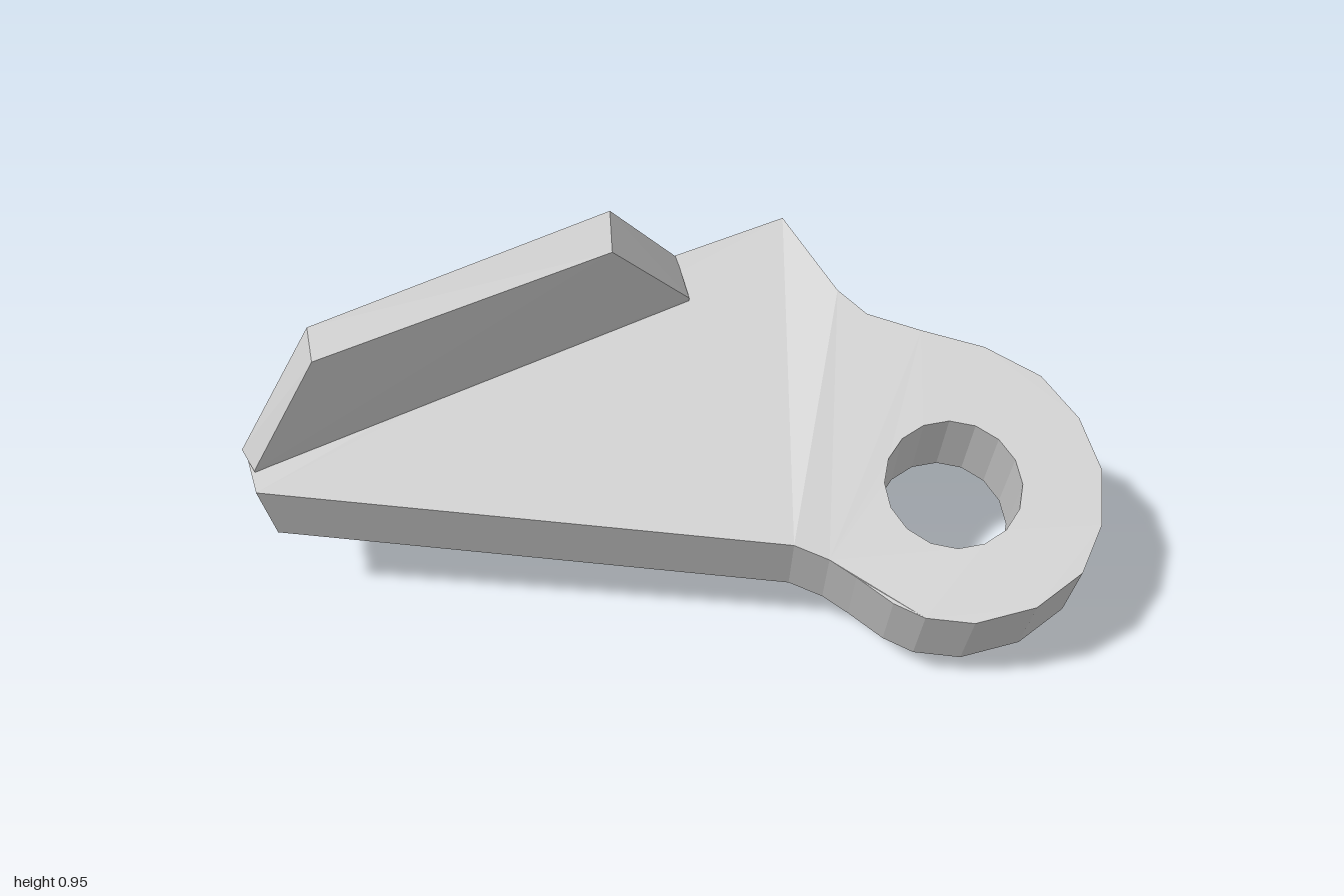
import * as THREE from 'three';

const material = new THREE.MeshStandardMaterial({ color: 0xcccccc, flatShading: true });

// Height of the arm's upper surface: body plane easing into the ring's plane
function topHeight(x, z) {
  const body = 0.375 - 0.4345 * (z - 0.4) - 0.04 * (x - 0.3);
  const ring = 0.565 - 0.5 * z;
  return THREE.MathUtils.lerp(body, ring, THREE.MathUtils.clamp((x - 0.28) / 0.12, 0, 1));
}

// Extrude a plan outline (x, z) and lean it onto the sloping surface
function slab(name, outline, hole) {
  const toPoint = ([x, z]) => new THREE.Vector2(x, -z);
  const shape = new THREE.Shape(outline.map(toPoint));
  if (hole) shape.holes.push(new THREE.Path(hole.map(toPoint)));
  const geometry = new THREE.ExtrudeGeometry(shape, { depth: 1, bevelEnabled: false });
  const p = geometry.attributes.position;
  for (let i = 0; i < p.count; i++) {
    const x = p.getX(i), z = -p.getY(i), drop = 1 - p.getZ(i);
    p.setXYZ(i, x, topHeight(x, z) - 0.205 * drop, z - 0.1 * drop);
  }
  geometry.computeVertexNormals();
  const mesh = new THREE.Mesh(geometry, material);
  mesh.name = name;
  return mesh;
}

// Solid between two matching loops, both clockwise as seen from the front
function loft(name, back, front) {
  const n = back.length, index = [];
  for (let i = 0; i < n; i++) {
    const j = (i + 1) % n;
    index.push(i, n + i, n + j, i, n + j, j);
    if (i > 0 && i < n - 1) index.push(0, i, i + 1, n, n + i + 1, n + i);
  }
  const geometry = new THREE.BufferGeometry();
  geometry.setAttribute('position', new THREE.Float32BufferAttribute([...back, ...front].flat(), 3));
  geometry.setIndex(index);
  const flat = geometry.toNonIndexed();
  flat.computeVertexNormals();
  const mesh = new THREE.Mesh(flat, material);
  mesh.name = name;
  return mesh;
}

export function createModel() {
  const model = new THREE.Group();
  model.name = 'bracket';

  // Tapering arm with its rear tab
  const neckFront = [0.28, 0.395], neckBack = [0.4, -0.22], tab = [0.27, -0.45];
  const ringFront = [0.36, 0.42];
  model.add(slab('armBody', [[-0.95, 0.325], neckFront, tab, [0, -0.33], [-0.98, 0.25]]));
  model.add(slab('neck', [neckFront, ringFront, neckBack, tab]));

  // Eyelet ring with a through hole
  const hole = [];
  for (let i = 0; i < 16; i++) {
    const a = (i / 16) * Math.PI * 2;
    hole.push([0.653 + 0.16 * Math.cos(a), 0.245 + 0.145 * Math.sin(a)]);
  }
  model.add(slab('eyeletRing', [
    ringFront, [0.42, 0.455], [0.5, 0.51], [0.57, 0.54], [0.68, 0.55], [0.82, 0.515],
    [0.93, 0.44], [0.985, 0.335], [1, 0.21], [0.96, 0.09], [0.88, -0.01], [0.75, -0.08],
    [0.6, -0.12], [0.47, -0.16], neckBack,
  ], hole));

  // Eight-sided end plate crossing the arm, rim slightly tapered to the front
  model.add(loft('endPlate',
    [[-1, 0.5, 0.22], [-0.8, 0.85, 0.23], [-0.15, 0.955, -0.11], [0, 0.7, -0.33],
      [-0.01, 0.48, -0.435], [-0.2, 0.135, -0.465], [-0.82, 0.02, -0.13], [-1, 0.28, 0.1]],
    [[-0.96, 0.485, 0.28], [-0.78, 0.81, 0.305], [-0.14, 0.91, 0], [0.035, 0.66, -0.2],
      [0.02, 0.44, -0.32], [-0.14, 0.11, -0.36], [-0.785, 0, -0.06], [-0.96, 0.25, 0.17]]));

  return model;
}
